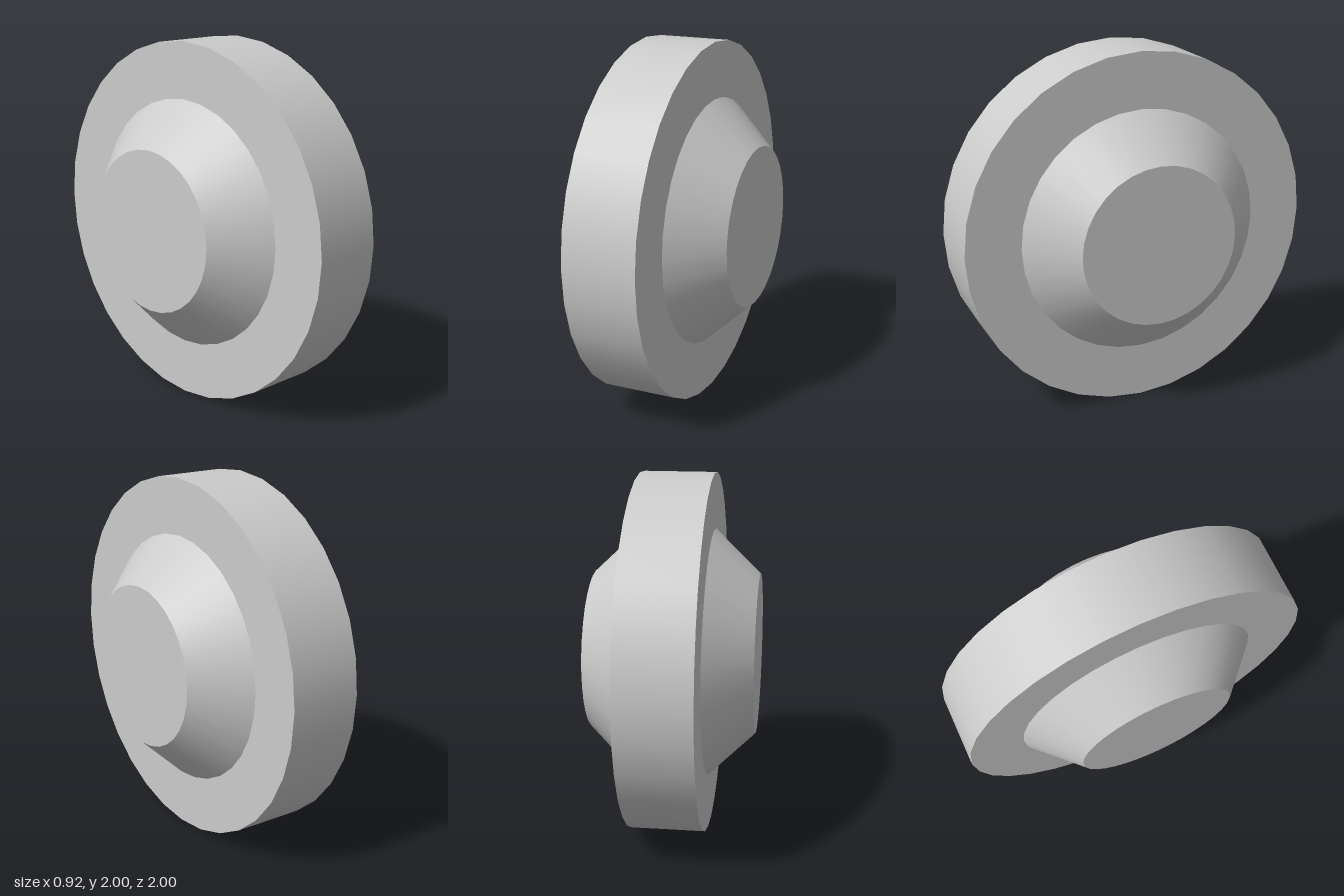
import * as THREE from 'three';

const SEGMENTS = 32;
const RIM_HALF = 0.203, HUB_END = 0.458;

export function createModel() {
  const group = new THREE.Group();
  const material = new THREE.MeshStandardMaterial({ color: 0xcccccc });

  // Adds a round part whose axis lies along x; the outer radius faces +x
  function addRound(name, outerRadius, innerRadius, width, x, openEnded = false) {
    const geometry = new THREE.CylinderGeometry(outerRadius, innerRadius, width, SEGMENTS, 1, openEnded);
    geometry.rotateZ(-Math.PI / 2);
    const mesh = new THREE.Mesh(geometry, material);
    mesh.name = name;
    mesh.position.set(x, 1, 0);
    group.add(mesh);
    return mesh;
  }

  // Wide flat wheel
  addRound('wheel', 1, 1, RIM_HALF * 2, 0);

  // Tapered hub on each side
  const hubWidth = HUB_END - RIM_HALF;
  const hubX = (HUB_END + RIM_HALF) / 2;
  addRound('leftHub', 0.447, 0.69, hubWidth, hubX);
  addRound('rightHub', 0.69, 0.447, hubWidth, -hubX);

  return group;
}
